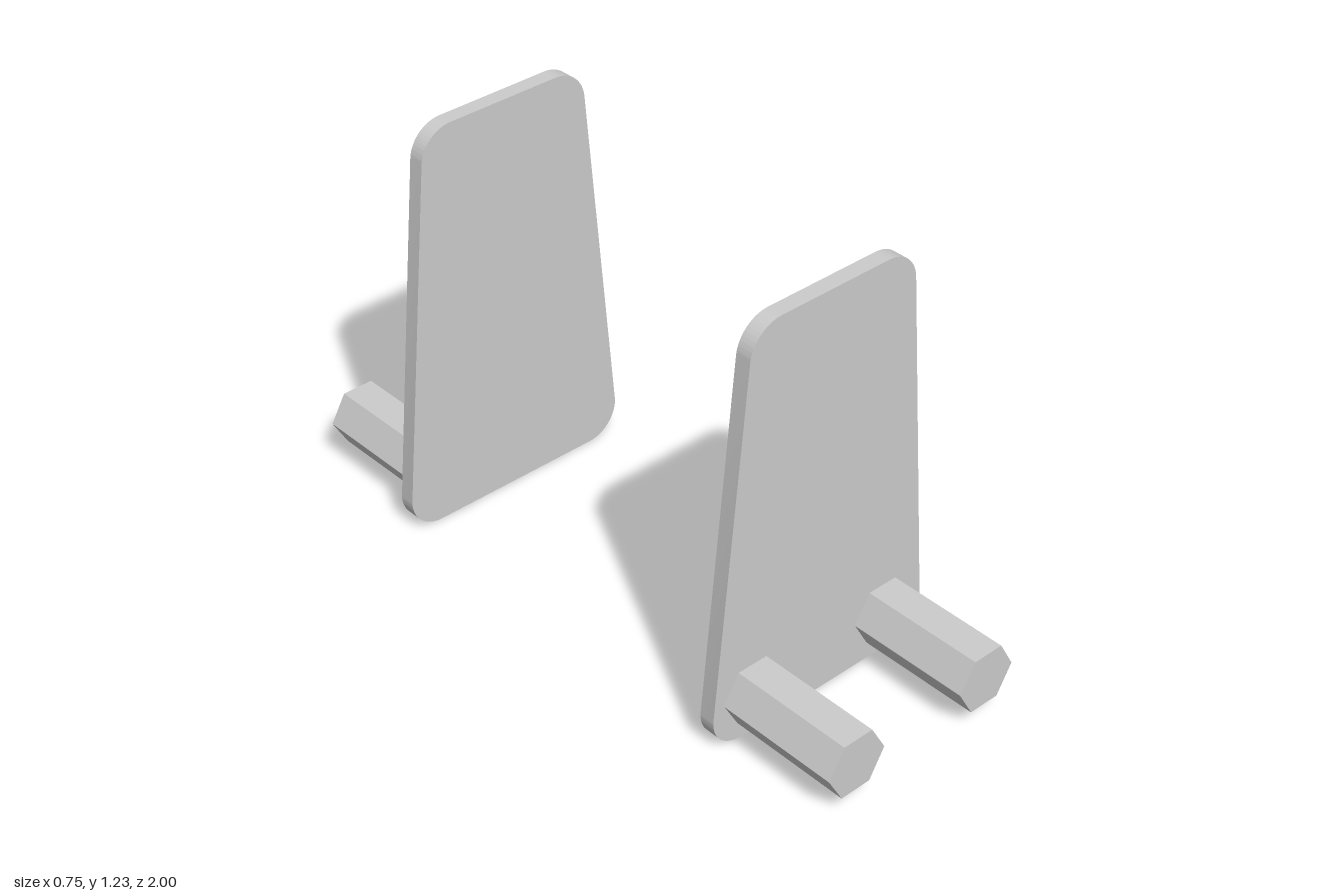
import * as THREE from 'three';
import { toCreasedNormals } from 'three/addons/utils/BufferGeometryUtils.js';

const HEIGHT = 1.233, CORNER = 0.1;
const PLATE_IN = 0.585, PLATE_OUT = 0.632, PEG_END = 1;

// Tapered outline with four rounded corners; the arcs meet the sloping sides tangentially
function plateShape() {
  const bottomX = 0.274, topX = 0.177;
  const tilt = Math.atan2(bottomX - topX, HEIGHT - 2 * CORNER);
  const top = HEIGHT - CORNER;
  const shape = new THREE.Shape();
  shape.moveTo(-bottomX, 0);
  shape.absarc(bottomX, CORNER, CORNER, -Math.PI / 2, tilt, false);
  shape.absarc(topX, top, CORNER, tilt, Math.PI / 2, false);
  shape.absarc(-topX, top, CORNER, Math.PI / 2, Math.PI - tilt, false);
  shape.absarc(-bottomX, CORNER, CORNER, Math.PI - tilt, Math.PI * 1.5, false);
  return shape;
}

export function createModel() {
  const model = new THREE.Group();
  model.name = 'plateAndPegPair';
  const smooth = new THREE.MeshStandardMaterial({ color: 0xcccccc });
  const faceted = new THREE.MeshStandardMaterial({ color: 0xcccccc, flatShading: true });

  const thickness = PLATE_OUT - PLATE_IN;
  const plateGeometry = toCreasedNormals(
    new THREE.ExtrudeGeometry(plateShape(), { depth: thickness, bevelEnabled: false, curveSegments: 12 }), 0.5);
  plateGeometry.translate(0, 0, -thickness / 2);

  // Hexagonal peg along z, with corners pointing left and right
  const pegLength = PEG_END - PLATE_OUT;
  const pegGeometry = new THREE.CylinderGeometry(0.096, 0.096, pegLength, 6, 1, false, Math.PI / 2);
  pegGeometry.rotateX(Math.PI / 2);

  // Front and back assemblies, pegs facing outwards
  for (const [side, name] of [[1, 'front'], [-1, 'back']]) {
    const assembly = new THREE.Group();
    assembly.name = name + 'Assembly';

    const plate = new THREE.Mesh(plateGeometry, smooth);
    plate.name = name + 'Plate';
    plate.position.z = side * (PLATE_IN + PLATE_OUT) / 2;
    assembly.add(plate);

    for (const [x, label] of [[0.224, 'LeftPeg'], [-0.242, 'RightPeg']]) {
      const peg = new THREE.Mesh(pegGeometry, faceted);
      peg.name = name + label;
      peg.position.set(x, 0.136, side * (PLATE_OUT + PEG_END) / 2);
      assembly.add(peg);
    }
    model.add(assembly);
  }
  return model;
}
